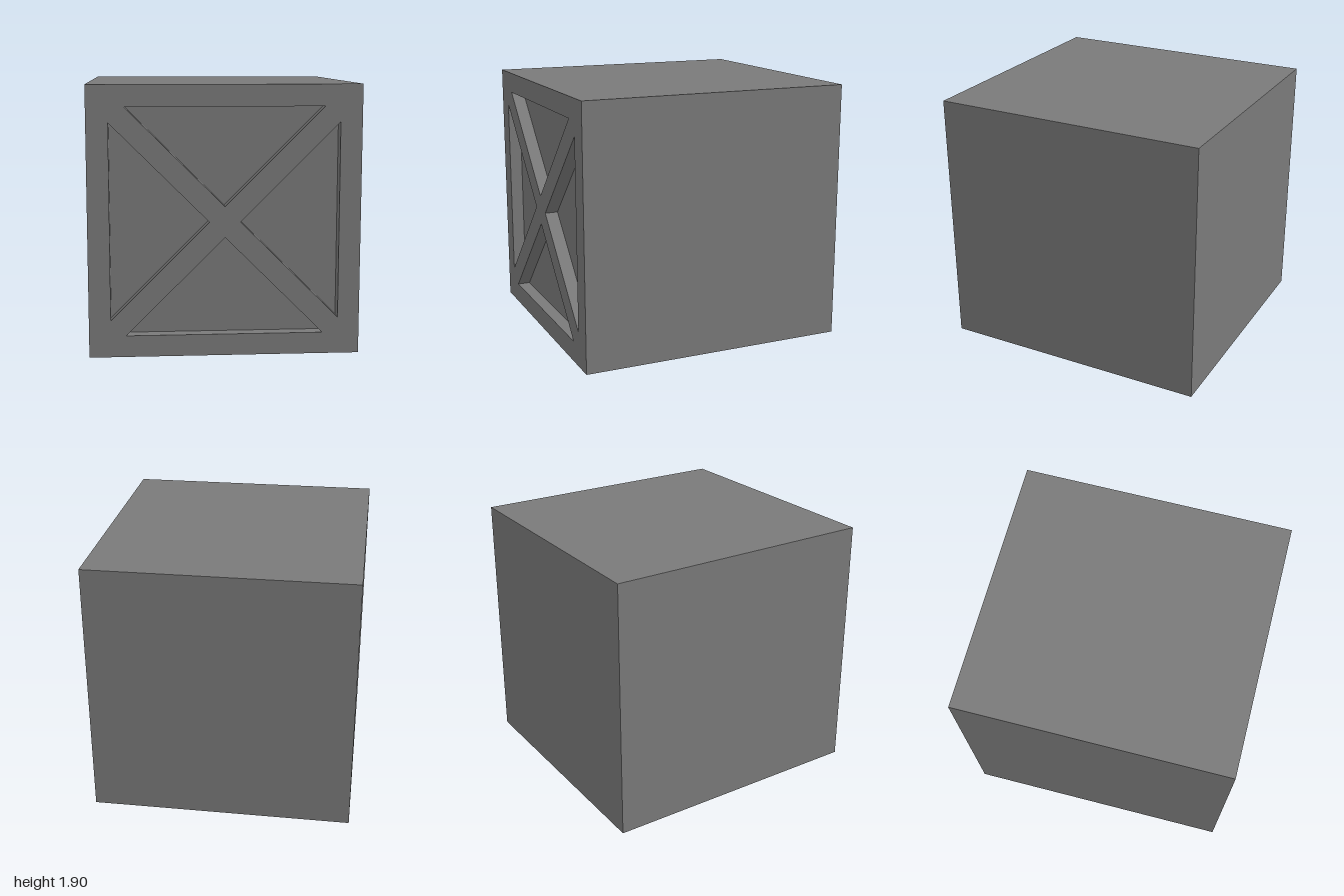
import * as THREE from 'three';

const SIZE = 1.905;      // width and height
const HALF = SIZE / 2;
const FRONT = 1;         // z of the front face
const FLOOR = 0.905;     // z of the recessed panels
const INNER = 0.8;       // half-width inside the border
const GAP = 0.108;       // distance from centre to each recess tip

const material = new THREE.MeshStandardMaterial({ color: 0x7a7a7a, flatShading: true });

// Triangular recess outline, turned by quarter turns (counter-clockwise corners)
function recessOutline(turn) {
  const centre = new THREE.Vector2();
  const reach = INNER - GAP;
  return [[0, GAP], [reach, INNER], [-reach, INNER]].map(([x, y]) =>
    new THREE.Vector2(x, y).rotateAround(centre, turn * Math.PI / 2));
}

// Floor and inward-facing walls of one recess
function recessGeometry(outline) {
  const positions = [];
  const add = (p, z) => positions.push(p.x, p.y, z);
  outline.forEach((p) => add(p, FLOOR));
  outline.forEach((a, i) => {
    const b = outline[(i + 1) % outline.length];
    add(a, FLOOR); add(a, FRONT); add(b, FRONT);
    add(a, FLOOR); add(b, FRONT); add(b, FLOOR);
  });
  const geometry = new THREE.BufferGeometry();
  geometry.setAttribute('position', new THREE.Float32BufferAttribute(positions, 3));
  geometry.computeVertexNormals();
  return geometry;
}

export function createModel() {
  const crate = new THREE.Group();
  crate.name = 'crate';

  const addPart = (name, geometry) => {
    const mesh = new THREE.Mesh(geometry, material);
    mesh.name = name;
    mesh.position.y = HALF;
    crate.add(mesh);
  };

  // Box shell with its front (+z) side left open
  const shell = new THREE.BoxGeometry(SIZE, SIZE, 2 * FRONT);
  const index = Array.from(shell.index.array);
  index.splice(24, 6);
  shell.setIndex(index);
  shell.clearGroups();
  addPart('body', shell);

  // Front border and diagonal cross, with a recessed panel in each opening
  // (counter-clockwise from the top; left and right are the crate's own)
  const face = new THREE.Shape([
    new THREE.Vector2(-HALF, -HALF), new THREE.Vector2(HALF, -HALF),
    new THREE.Vector2(HALF, HALF), new THREE.Vector2(-HALF, HALF),
  ]);
  ['topRecess', 'rightRecess', 'bottomRecess', 'leftRecess'].forEach((name, turn) => {
    const outline = recessOutline(turn);
    face.holes.push(new THREE.Path(outline));
    addPart(name, recessGeometry(outline));
  });
  addPart('crossBracedFront', new THREE.ShapeGeometry(face).translate(0, 0, FRONT));

  return crate;
}
